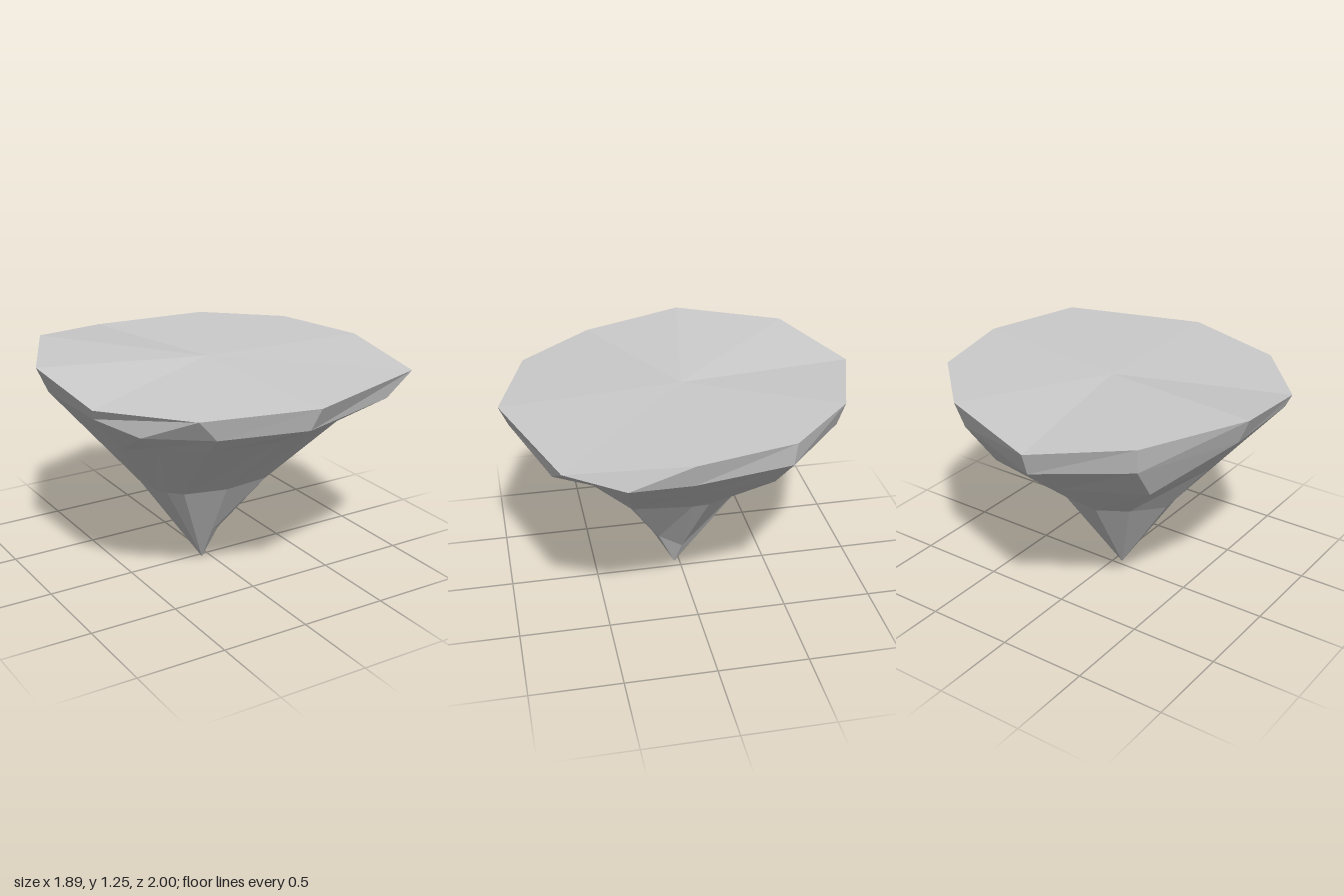
import * as THREE from 'three';

// Cross-sections of the rock, from the rim downwards. Each runs clockwise seen from above, starting at the back.
// The rim repeats a corner where two lower corners meet one rim corner.
const rim = [
  [-0.17, 1.18, -1], [0.44, 1.22, -0.8], [0.82, 1.225, -0.43], [0.945, 1.225, 0.11],
  [0.84, 1.19, 0.75], [0.84, 1.19, 0.75], [0.06, 1.185, 1], [-0.54, 1.17, 0.82],
  [-0.54, 1.17, 0.82], [-0.9, 1.17, 0.4], [-0.95, 1.25, -0.16], [-0.67, 1.245, -0.74],
];
const lip = [
  [-0.16, 1.05, -0.95], [0.4, 1.08, -0.77], [0.8, 1.09, -0.42], [0.9, 1.09, 0.11],
  [0.91, 1.095, 0.44], [0.65, 1.075, 0.78], [0.03, 1.06, 0.95], [-0.43, 1.05, 0.81],
  [-0.72, 1.04, 0.56], [-0.88, 1.11, 0.36], [-0.89, 1.11, -0.15], [-0.65, 1.1, -0.71],
];
const neck = [
  [-0.1, 0.52, -0.3], [0.11, 0.53, -0.29], [0.34, 0.62, -0.09], [0.33, 0.61, 0.0],
  [0.2, 0.55, 0.31], [0.19, 0.55, 0.32], [-0.08, 0.55, 0.35], [-0.3, 0.535, 0.26],
  [-0.36, 0.53, 0.18], [-0.39, 0.525, 0.1], [-0.4, 0.52, -0.05], [-0.27, 0.53, -0.22],
];
const tip = [-0.05, 0, 0.03];

const mix = (a, b, t) => a.map((v, k) => v + (b[k] - v) * t);

// The belly lies between lip and neck, with a few corners pushed in or out
const bellyDents = {
  1: [0.24, 0.91, -0.72], 2: [0.61, 0.89, -0.38], 5: [0.4, 0.96, 0.68], 6: [-0.03, 0.96, 0.78],
  7: [-0.42, 0.95, 0.7], 8: [-0.61, 0.96, 0.54], 11: [-0.62, 0.9, -0.55],
};
const belly = lip.map((p, i) => bellyDents[i] ?? mix(p, neck[i], 0.4));

// The stem tapers to the tip and is pinched on the front left
const stemDents = { 2: [0.03, 0.16, 0], 3: [0.03, 0.16, 0], 4: [0, 0.22, 0.13], 5: [0, 0.22, 0.13] };
const stem = neck.map((p, i) => stemDents[i] ?? mix(p, tip, 0.6));

function facetMesh(name, triangles) {
  const geometry = new THREE.BufferGeometry();
  geometry.setAttribute('position', new THREE.Float32BufferAttribute(triangles.flat(2), 3));
  geometry.computeVertexNormals();
  const material = new THREE.MeshStandardMaterial({ color: 0xcccccc, flatShading: true, side: THREE.DoubleSide });
  const mesh = new THREE.Mesh(geometry, material);
  mesh.name = name;
  return mesh;
}

// Faceted band between two cross-sections; collapsed triangles are dropped
function band(upper, lower) {
  const same = (a, b) => a.every((v, k) => v === b[k]);
  return upper.flatMap((a, i) => {
    const j = (i + 1) % upper.length;
    return [[a, upper[j], lower[j]], [a, lower[j], lower[i]]];
  }).filter(([a, b, c]) => !same(a, b) && !same(b, c) && !same(a, c));
}

export function createModel() {
  const group = new THREE.Group();
  group.name = 'floatingRock';

  // Nearly flat ground on top
  const centre = [0, 1.21, 0];
  const corners = rim.filter((_, i) => i !== 5 && i !== 8);
  group.add(facetMesh('topGround', corners.map((p, i) => [centre, corners[(i + 1) % corners.length], p])));

  // Short rim wall under the ground
  group.add(facetMesh('rimWall', band(rim, lip)));

  // Tapering underside
  group.add(facetMesh('underside', [...band(lip, belly), ...band(belly, neck)]));

  // Pointed bottom
  group.add(facetMesh('bottomPoint', [...band(neck, stem), ...band(stem, stem.map(() => tip))]));

  return group;
}
